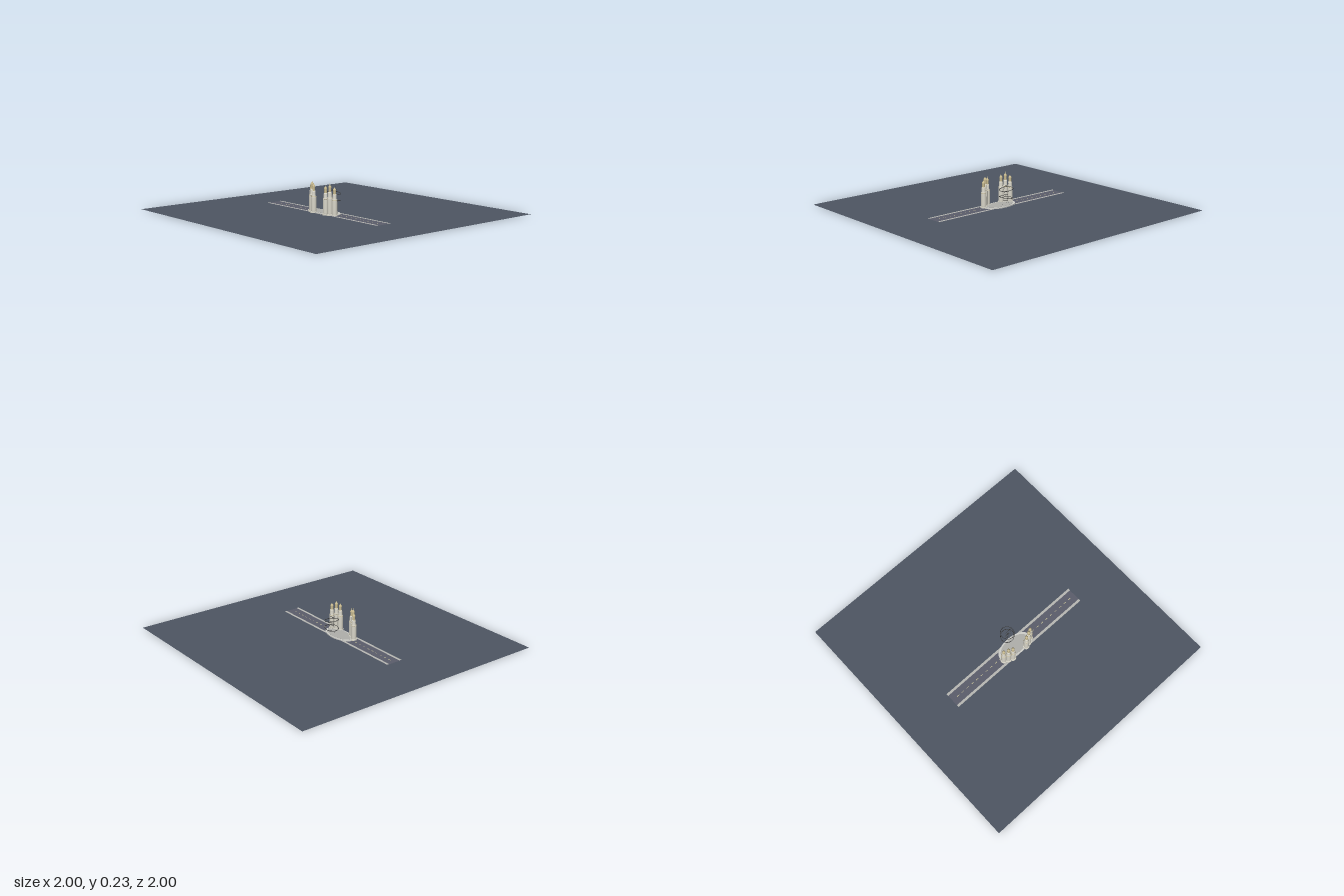
import * as THREE from 'three';

const mat = (color, opts = {}) => new THREE.MeshStandardMaterial({ color, ...opts });

export function createModel() {
  const model = new THREE.Group();
  const add = (parent, name, geometry, material, x = 0, y = 0, z = 0) => {
    const mesh = new THREE.Mesh(geometry, material);
    mesh.name = name;
    mesh.position.set(x, y, z);
    parent.add(mesh);
    return mesh;
  };
  const flat = (w, d) => new THREE.PlaneGeometry(w, d).rotateX(-Math.PI / 2);

  const stone = mat(0xd9d6c9);
  const gold = mat(0xcbbd92);
  const dark = mat(0x3a3a3a);
  const pale = mat(0xb9b9b4);
  const cream = mat(0xc9c39a);

  // Ground sheet and road
  add(model, 'ground', flat(2, 2), mat(0x4e5663, { side: THREE.DoubleSide }), 0, 0.002, 0);
  const road = new THREE.Group();
  road.name = 'road';
  model.add(road);
  add(road, 'roadSurface', flat(1.21, 0.13), mat(0x5b5d6b), 0, 0.004, 0.076);
  for (const z of [0.02, 0.132]) add(road, 'roadEdge', flat(1.21, 0.018), pale, 0, 0.006, z);
  for (let i = 0; i < 25; i++) {
    add(road, 'laneDash', flat(0.022, 0.004), cream, -0.552 + i * 0.046, 0.006, 0.076);
  }

  // Oval plaza with a pale rim
  const disc = (r, h) => new THREE.CylinderGeometry(r, r, h, 48).scale(1, 1, 0.5);
  add(model, 'plazaRim', disc(0.14, 0.01), mat(0xd0d0cb), 0, 0.005, 0.07);
  add(model, 'plazaFloor', disc(0.12, 0.002), mat(0xb0b0ac), 0, 0.011, 0.07);

  // Towers: footing, two rounded drums, golden turret and spire
  const lathe = (points) =>
    new THREE.LatheGeometry(points.map(([r, y]) => new THREE.Vector2(r, y)), 20);
  const addTower = (x, z, h) => {
    const tower = new THREE.Group();
    tower.name = 'tower';
    tower.position.set(x, 0, z);
    model.add(tower);
    add(tower, 'towerFooting', new THREE.CylinderGeometry(0.024, 0.025, 0.014, 20), stone, 0, 0.007, 0);
    add(tower, 'towerBody', lathe([
      [0.018, 0.012], [0.0195, 0.02], [0.0195, h * 0.5], [0.018, h * 0.55],
      [0.014, h * 0.58], [0.014, h * 0.69], [0.0125, h * 0.73], [0, h * 0.74],
    ]), stone);
    add(tower, 'towerBand', new THREE.TorusGeometry(0.0185, 0.0015, 6, 20).rotateX(Math.PI / 2), gold, 0, h * 0.54, 0);
    add(tower, 'towerTurret', lathe([
      [0.01, h * 0.72], [0.01, h * 0.85], [0.0115, h * 0.86], [0.0105, h * 0.89],
      [0.006, h * 0.92], [0.002, h * 0.945], [0, h],
    ]), gold);
  };
  for (const side of [-1, 1]) {
    addTower(side * 0.128, 0.1, 0.215);
    addTower(side * 0.098, 0.118, 0.235);
    addTower(side * 0.066, 0.13, 0.222);
  }

  // Floating display: two tilted rings with small points and bars between
  const display = new THREE.Group();
  display.name = 'floatingDisplay';
  display.position.z = -0.002;
  model.add(display);
  for (const [y, tilt] of [[0.14, -0.15], [0.079, 0.15]]) {
    const ring = add(display, 'orbitRing', new THREE.TorusGeometry(0.05, 0.002, 6, 48).rotateX(Math.PI / 2), dark, 0, y, 0);
    ring.rotation.z = tilt;
  }
  for (const y of [0.165, 0.12, 0.1, 0.055]) {
    add(display, 'displayBar', new THREE.BoxGeometry(0.036, 0.002, 0.003), dark, 0, y, 0);
  }
  for (let i = 0; i < 24; i++) {
    const a = i * 2.4;
    add(display, 'displayPoint', new THREE.SphereGeometry(0.0018, 6, 4), dark,
      Math.cos(a) * 0.033, 0.03 + i * 0.0067, Math.sin(a) * 0.008);
  }

  return model;
}
